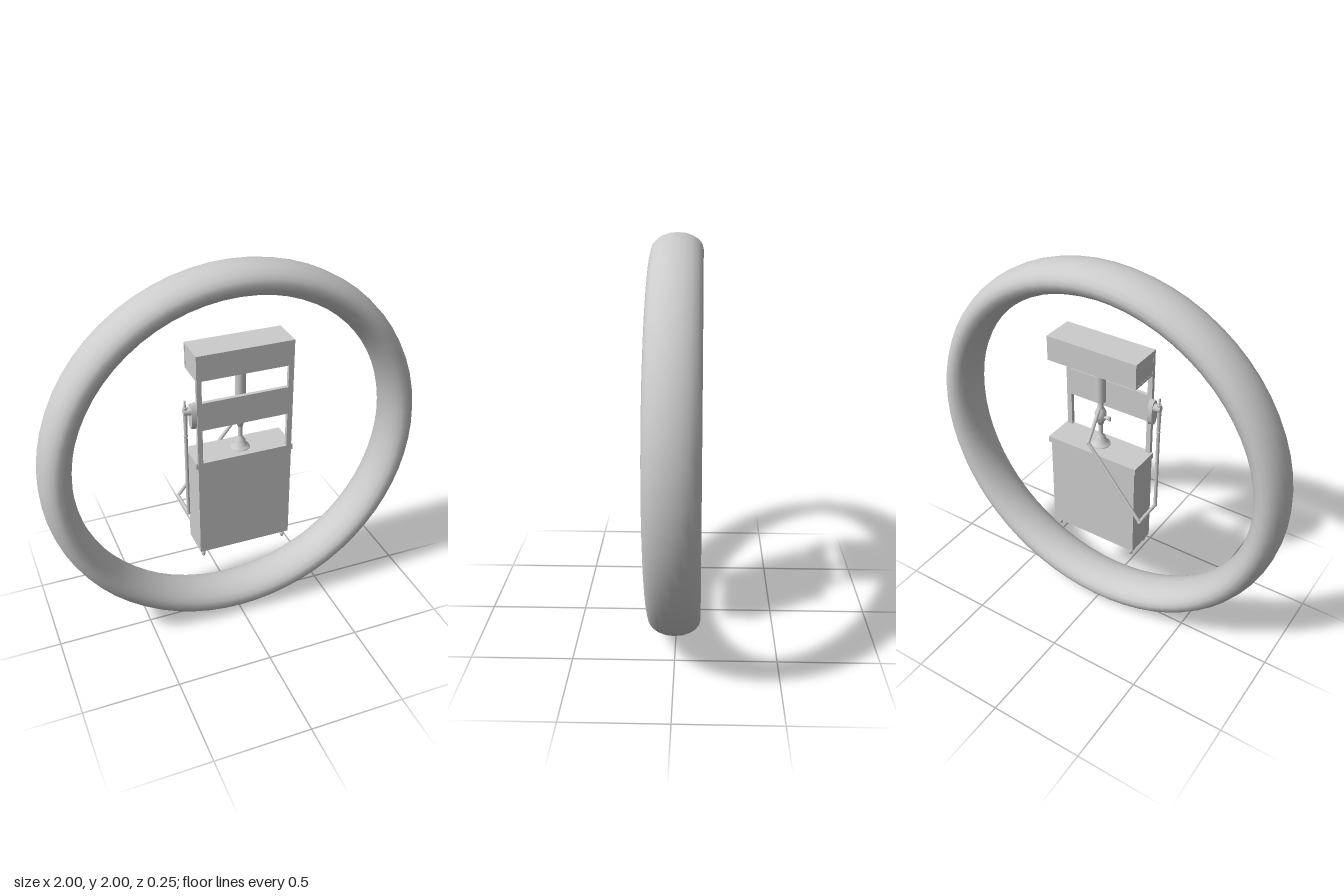
import * as THREE from 'three';

const mat = new THREE.MeshStandardMaterial({ color: 0xcccccc, side: THREE.DoubleSide });

function add(parent, name, geometry, x = 0, y = 0, z = 0) {
  const mesh = new THREE.Mesh(geometry, mat);
  mesh.name = name;
  mesh.position.set(x, y, z);
  parent.add(mesh);
  return mesh;
}

// Box given by its limits on each axis
function slab(parent, name, x0, x1, y0, y1, z0, z1) {
  return add(parent, name, new THREE.BoxGeometry(x1 - x0, y1 - y0, z1 - z0),
    (x0 + x1) / 2, (y0 + y1) / 2, (z0 + z1) / 2);
}

// Straight round bar between two points
function bar(parent, name, a, b, r, r2 = r) {
  const p = new THREE.Vector3(...a), q = new THREE.Vector3(...b);
  const d = q.clone().sub(p);
  const mesh = add(parent, name, new THREE.CylinderGeometry(r2, r, d.length(), 12));
  mesh.position.copy(p).add(q).multiplyScalar(0.5);
  mesh.quaternion.setFromUnitVectors(new THREE.Vector3(0, 1, 0), d.normalize());
  return mesh;
}

function rect(path, x0, x1, y0, y1) {
  path.moveTo(x0, y0);
  path.lineTo(x1, y0);
  path.lineTo(x1, y1);
  path.lineTo(x0, y1);
  path.closePath();
  return path;
}

export function createModel() {
  const model = new THREE.Group();
  const L = -0.225, R = 0.275, F = 0.082, B = -0.09;

  // Surrounding ring, oval in section
  const ring = add(model, 'ring', new THREE.TorusGeometry(0.92, 0.08, 20, 64), 0, 1, 0);
  ring.scale.z = 0.125 / 0.08;

  const machine = new THREE.Group();
  machine.name = 'pump';
  model.add(machine);

  // Cabinet with overhanging lid
  slab(machine, 'cabinet', L, R, 0.46, 0.98, B + 0.005, F - 0.005);
  slab(machine, 'lid', L - 0.01, R + 0.01, 0.98, 1.012, B - 0.005, F - 0.005);

  // Front frame with two window openings
  const frame = rect(new THREE.Shape(), L, R, 0.46, 1.6);
  for (const [y0, y1] of [[1.012, 1.2], [1.35, 1.468]])
    frame.holes.push(rect(new THREE.Path(), L + 0.025, R - 0.027, y0, y1));
  add(machine, 'frontFrame',
    new THREE.ExtrudeGeometry(frame, { depth: 0.02, bevelEnabled: false }), 0, 0, F - 0.02);

  // Hollow head box with a recessed end
  const shell = rect(new THREE.Shape(), -F + 0.001, -B, 1.468, 1.6);
  shell.holes.push(rect(new THREE.Path(), -F + 0.015, -B - 0.014, 1.482, 1.586));
  const head = add(machine, 'headShell',
    new THREE.ExtrudeGeometry(shell, { depth: R - L, bevelEnabled: false }), L, 0, 0);
  head.rotation.y = Math.PI / 2;
  slab(machine, 'headFilling', L + 0.001, R - 0.02, 1.475, 1.593, B + 0.008, F - 0.008);

  // Feet
  for (const x of [L + 0.022, R - 0.025])
    for (const z of [B + 0.025, F - 0.02]) {
      bar(machine, 'footStem', [x, 0.44, z], [x, 0.465, z], 0.006);
      const foot = add(machine, 'foot', new THREE.SphereGeometry(0.011, 12, 8), x, 0.435, z);
      foot.scale.y = 1.7;
    }

  // Central column, neck, valve body, stem and flared base in one turned profile
  const cx = 0.028;
  const turned = (name, pts) => add(machine, name,
    new THREE.LatheGeometry(pts.map(p => new THREE.Vector2(...p)), 20), cx, 0, 0);
  bar(machine, 'column', [cx, 1.27, 0], [cx, 1.455, 0], 0.027);
  bar(machine, 'columnCollar', [cx, 1.455, 0], [cx, 1.47, 0], 0.034);
  turned('valve', [[0, 1.135], [0.014, 1.135], [0.018, 1.15], [0.028, 1.165],
    [0.03, 1.2], [0.02, 1.225], [0.015, 1.235], [0.013, 1.275]]);
  turned('stem', [[0.05, 1.012], [0.048, 1.02], [0.03, 1.03], [0.026, 1.055],
    [0.014, 1.068], [0.011, 1.085], [0.012, 1.14]]);
  bar(machine, 'lever', [cx, 1.18, 0], [-0.03, 1.19, -0.01], 0.008);
  bar(machine, 'leverGrip', [-0.03, 1.178, -0.01], [-0.03, 1.202, -0.01], 0.007);
  bar(machine, 'valveOutlet', [cx, 1.185, 0], [cx, 1.175, -0.045], 0.011);

  // Hose runs behind the cabinet, round its side and up to the nozzle
  const hose = [[cx, 1.235, -0.01], [cx, 1.085, -0.113], [-0.278, 0.71, -0.112],
    [-0.275, 0.71, 0.05], [-0.275, 1.17, 0.05]];
  hose.slice(1).forEach((p, i) => {
    bar(machine, 'hose', hose[i], p, 0.009);
    add(machine, 'hoseElbow', new THREE.SphereGeometry(0.0105, 12, 8), ...p);
  });

  // Nozzle hung on an oval holder at the side
  const holder = bar(machine, 'holder', [L, 1.275, 0.05], [-0.25, 1.275, 0.05], 0.075, 0.07);
  holder.scale.z = 0.42;
  bar(machine, 'holderHub', [-0.25, 1.305, 0.05], [-0.284, 1.305, 0.05], 0.022, 0.016);
  bar(machine, 'nozzle', [-0.275, 1.165, 0.05], [-0.275, 1.33, 0.05], 0.008, 0.012);
  bar(machine, 'nozzleTip', [-0.275, 1.33, 0.05], [-0.275, 1.365, 0.05], 0.005);
  return model;
}
